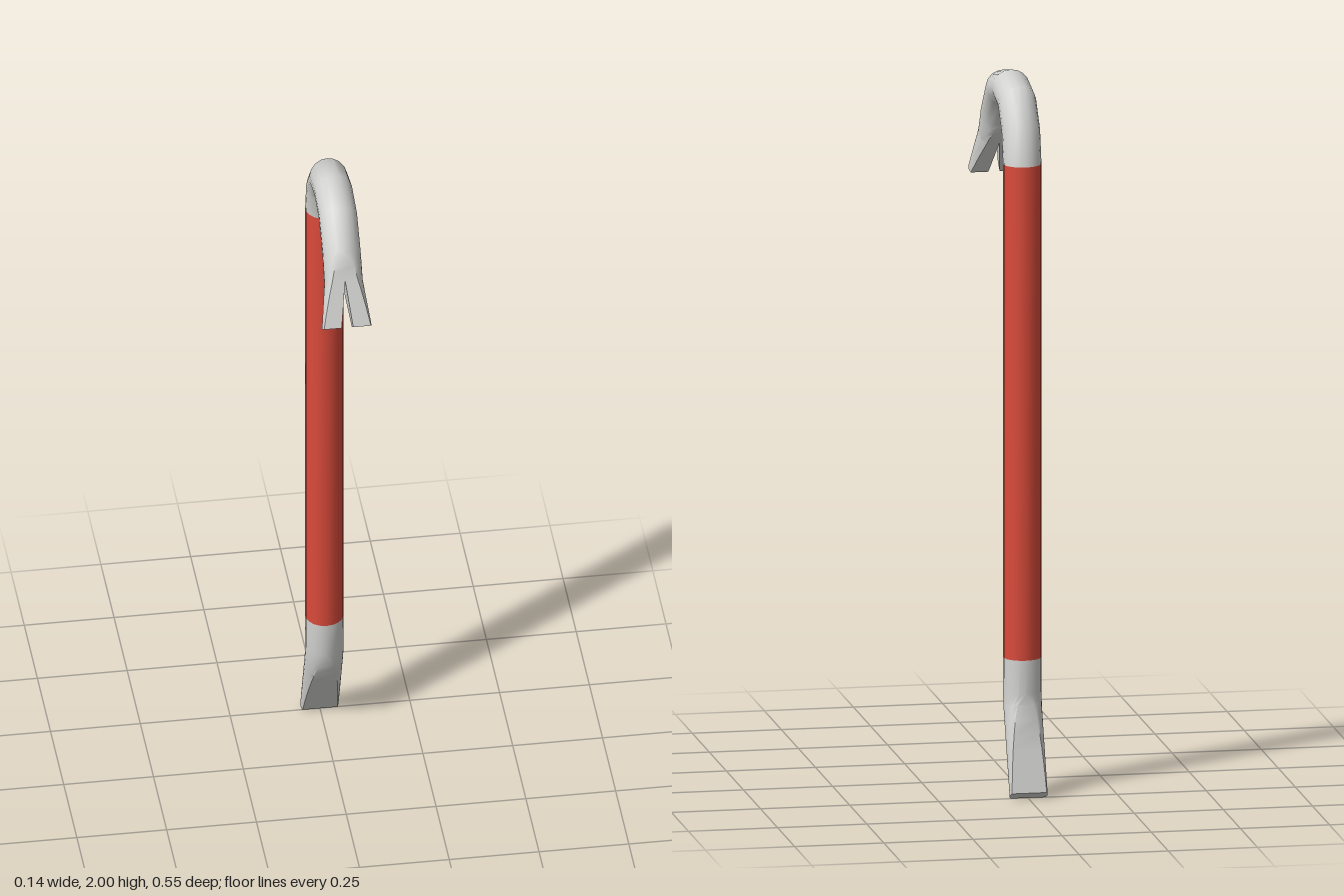
import * as THREE from 'three';
import { toCreasedNormals } from 'three/addons/utils/BufferGeometryUtils.js';

const R = 0.053; // bar radius
const ARC = 10; // points on each rounded side

// A station: back/outer edge (z, y), front/inner edge (z, y),
// roundness t (1 = full circle, less = flats cut into it), half width w, half notch g
const station = (oz, oy, iz, iy, t = 1, w = R, g = 0) => [oz, oy, iz, iy, t, w, g];
const mix = (a, b, f) => a.map((v, i) => v + (b[i] - v) * f);
const between = (a, b, n) => Array.from({ length: n + 1 }, (_, i) => mix(a, b, i / n));

// One cross-section; side 0 is the whole bar, +1 / -1 is one prong of the claw
function section([oz, oy, iz, iy, t, w, g], side) {
  const a0 = Math.asin(Math.min(t, 1));
  const pts = [];
  const put = (x, v) => pts.push([x, (oy + iy) / 2 + (v * (oy - iy)) / 2, (oz + iz) / 2 + (v * (oz - iz)) / 2]);
  const arc = (s) => {
    for (let i = 0; i < ARC; i++) {
      const a = a0 * ((2 * i) / (ARC - 1) - 1);
      put(s * w * Math.cos(a), (s * Math.sin(a)) / Math.sin(a0));
    }
  };
  if (side === 0) {
    arc(1);
    arc(-1);
  } else {
    put(side * g, -side);
    arc(side);
    put(side * g, side);
  }
  return pts;
}

// Skin the stations in order, optionally closing either end
function loft(stations, { side = 0, capStart = false, capEnd = false } = {}) {
  const rings = stations.map((s) => section(s, side));
  const n = rings[0].length;
  const index = [];
  for (let r = 0; r < rings.length - 1; r++) {
    for (let j = 0; j < n; j++) {
      const a = r * n + j, b = r * n + ((j + 1) % n);
      index.push(a, b, b + n, a, b + n, a + n);
    }
  }
  const last = (rings.length - 1) * n;
  for (let j = 1; j < n - 1; j++) {
    if (capStart) index.push(0, j + 1, j);
    if (capEnd) index.push(last, last + j, last + j + 1);
  }
  const geo = new THREE.BufferGeometry();
  geo.setAttribute('position', new THREE.Float32BufferAttribute(rings.flat(2), 3));
  geo.setIndex(index);
  return toCreasedNormals(geo, 0.7);
}

export function createModel() {
  const steel = new THREE.MeshStandardMaterial({ color: 0xd2d2d0 });
  steel.name = 'steel';
  const red = new THREE.MeshStandardMaterial({ color: 0xda4b3b });
  red.name = 'red paint';

  const group = new THREE.Group();
  group.name = 'crowbar';
  const add = (name, geo, mat) => {
    const mesh = new THREE.Mesh(geo, mat);
    mesh.name = name;
    group.add(mesh);
  };

  const gripBottom = station(-0.219, 0.38, -0.113, 0.38);
  const gripTop = station(-0.219, 1.77, -0.113, 1.77);

  // Bent chisel at the foot, flattening towards the tip
  const chiselTip = station(-0.272, 0.018, -0.249, 0.0, 0.4);
  const chiselRoot = station(-0.217, 0.255, -0.13, 0.225, 0.9);
  const chiselBend = station(-0.219, 0.285, -0.114, 0.28);
  add('chiselEnd', loft([...between(chiselTip, chiselRoot, 6), chiselBend, gripBottom], { capStart: true }), steel);

  // Painted straight shaft
  add('shaft', loft([gripBottom, gripTop]), red);

  // Curved neck and the solid start of the claw
  const clawRoot = station(0.2, 1.885, 0.12, 1.815, 1);
  const clawTip = station(0.274, 1.679, 0.246, 1.66, 0.33);
  const apex = mix(clawRoot, clawTip, 0.38);
  add('hook', loft([
    gripTop,
    station(-0.192, 1.885, -0.102, 1.83),
    station(-0.116, 1.975, -0.063, 1.883),
    station(0, 2.0, 0, 1.9),
    station(0.116, 1.975, 0.067, 1.882),
    ...between(clawRoot, apex, 4),
  ]), steel);

  // Two flared prongs either side of the nail notch
  const flaredTip = [...clawTip];
  flaredTip[5] = 0.069;
  flaredTip[6] = 0.016;
  for (const [name, side] of [['leftProng', 1], ['rightProng', -1]]) {
    add(name, loft(between(apex, flaredTip, 5), { side, capEnd: true }), steel);
  }
  return group;
}
